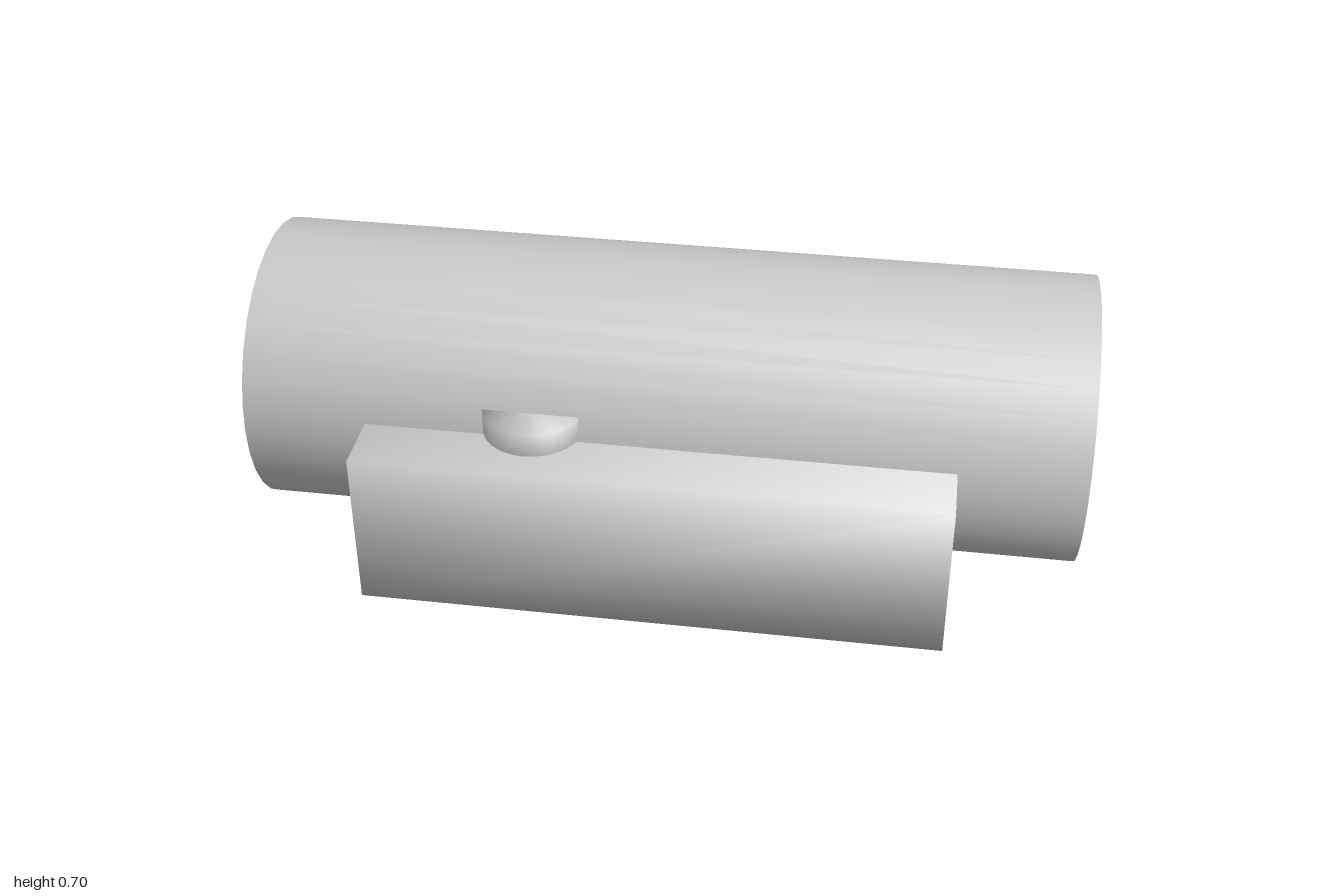
import * as THREE from 'three';
import { mergeVertices } from 'three/addons/utils/BufferGeometryUtils.js';

// Weld all corners so that the shading flows smoothly over the edges
function soften(geometry) {
  geometry.deleteAttribute('uv');
  geometry.deleteAttribute('normal');
  const welded = mergeVertices(geometry, 1e-4);
  welded.computeVertexNormals();
  return welded;
}

export function createModel() {
  const model = new THREE.Group();
  const grey = new THREE.MeshStandardMaterial({ color: 0xcccccc });
  grey.name = 'light grey';

  function add(name, geometry, x, y, z) {
    const mesh = new THREE.Mesh(soften(geometry), grey);
    mesh.name = name;
    mesh.position.set(x, y, z);
    model.add(mesh);
  }

  // Long horizontal barrel
  const barrel = new THREE.CylinderGeometry(0.35, 0.35, 2, 32).rotateZ(Math.PI / 2);
  add('barrel', barrel, 0, 0.35, 0);

  // Block that cradles the barrel, flush with its underside
  add('baseBlock', new THREE.BoxGeometry(1.4, 0.4, 1), 0, 0.2, 0);

  // Two upright studs, diagonally opposite, partly sunk into the barrel
  for (const side of [1, -1]) {
    const stud = new THREE.CylinderGeometry(0.12, 0.12, 0.12, 32);
    add(side > 0 ? 'frontStud' : 'backStud', stud, -0.3 * side, 0.4, 0.3 * side);
  }

  return model;
}
